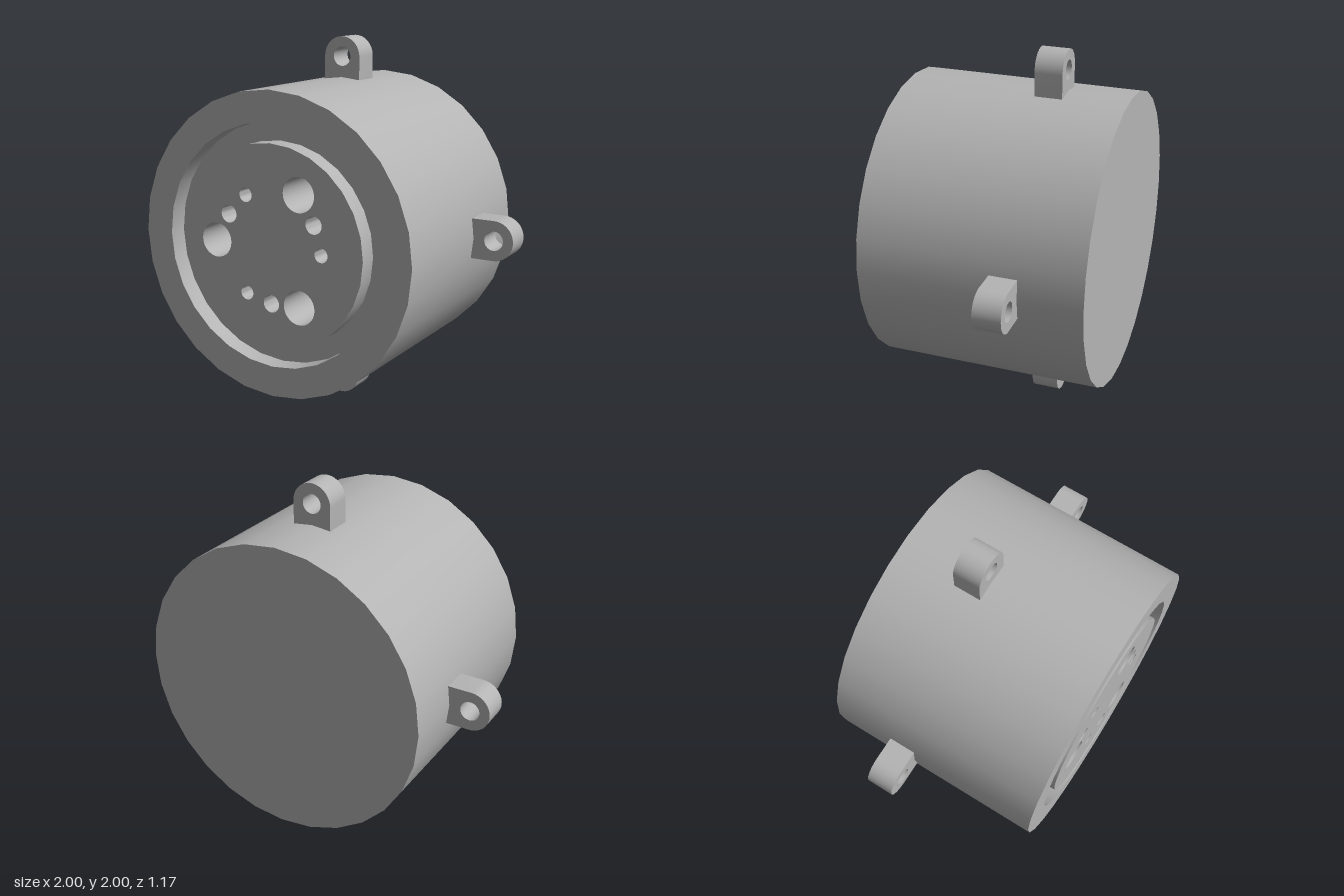
import * as THREE from 'three';
import { toCreasedNormals } from 'three/addons/utils/BufferGeometryUtils.js';

const SIDES = 28;
const FRONT = 0.585;
const CREASE = 0.6;

// Turned part whose axis runs along z; points are [radius, z]
function turned(points) {
  const profile = points.map(([r, z]) => new THREE.Vector2(r, z));
  const geometry = new THREE.LatheGeometry(profile, SIDES).rotateX(Math.PI / 2);
  return toCreasedNormals(geometry, CREASE);
}

function circlePath(Type, x, y, r) {
  const path = new Type();
  path.absarc(x, y, r, 0, Math.PI * 2, false);
  return path;
}

export function createModel() {
  const model = new THREE.Group();
  model.name = 'connectorHousing';
  const grey = new THREE.MeshStandardMaterial({ color: 0xb4b4b4 });
  grey.name = 'grey';

  const add = (name, geometry) => {
    const mesh = new THREE.Mesh(geometry, grey);
    mesh.name = name;
    mesh.position.y = 1;
    model.add(mesh);
    return mesh;
  };

  // Drum with closed back, front rim and ring groove
  add('body', turned([
    [0, -FRONT], [0.785, -FRONT], [0.785, FRONT], [0.625, FRONT],
    [0.625, FRONT - 0.1], [0.525, FRONT - 0.1], [0.525, FRONT],
  ]));

  // Socket layout: ring radius, hole radius, angles in degrees
  const sockets = [
    { name: 'largeSocket', ring: 0.33, r: 0.09, angles: [60, 180, 300] },
    { name: 'mediumSocket', ring: 0.29, r: 0.046, angles: [30, 150, 270] },
    { name: 'smallSocket', ring: 0.293, r: 0.037, angles: [0, 120, 240] },
  ];

  // Front plate pierced by the sockets, each with a blind bore behind it
  const plate = circlePath(THREE.Shape, 0, 0, 0.525);
  for (const { name, ring, r, angles } of sockets) {
    for (const degrees of angles) {
      const a = THREE.MathUtils.degToRad(degrees);
      const x = ring * Math.cos(a);
      const y = ring * Math.sin(a);
      plate.holes.push(circlePath(THREE.Path, x, y, r));
      const bore = add(name, turned([[r, FRONT], [r, FRONT - 0.4], [0, FRONT - 0.4]]));
      bore.position.x = x;
      bore.position.y += y;
    }
  }
  add('socketPlate', new THREE.ShapeGeometry(plate, SIDES / 2)).position.z = FRONT;

  // Four rounded mounting lugs with through holes
  const lug = new THREE.Shape();
  lug.moveTo(-0.105, 0.74);
  lug.lineTo(0.105, 0.74);
  lug.lineTo(0.105, 0.895);
  lug.absarc(0, 0.895, 0.105, 0, Math.PI, false);
  lug.closePath();
  lug.holes.push(circlePath(THREE.Path, 0, 0.895, 0.051));
  const lugGeometry = toCreasedNormals(
    new THREE.ExtrudeGeometry(lug, { depth: 0.145, bevelEnabled: false, curveSegments: 14 }), CREASE);
  ['topLug', 'leftLug', 'bottomLug', 'rightLug'].forEach((name, i) => {
    const mesh = add(name, lugGeometry);
    mesh.position.z = -0.255;
    mesh.rotation.z = -i * Math.PI / 2;
  });

  return model;
}
